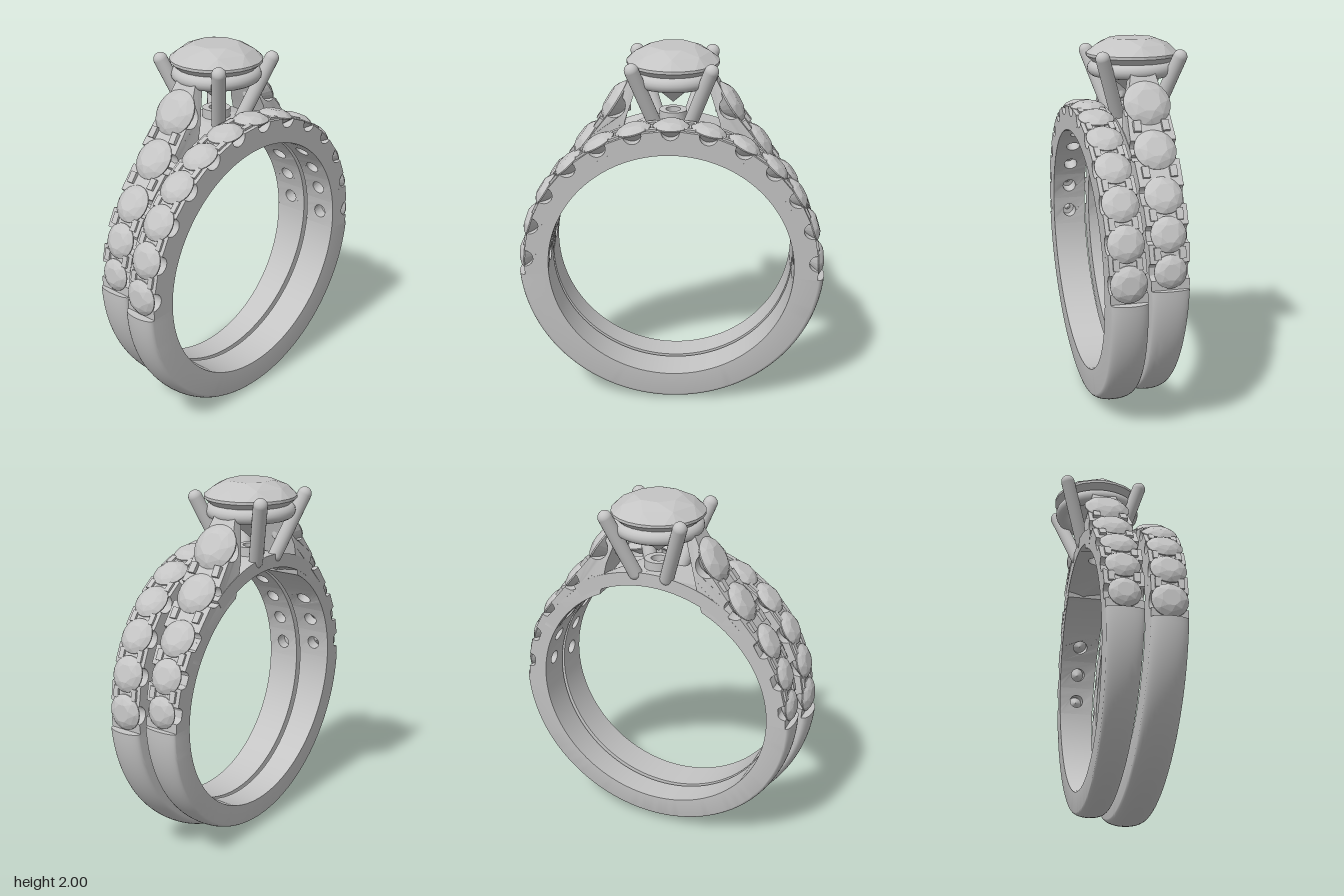
import * as THREE from 'three';
import { toCreasedNormals } from 'three/addons/utils/BufferGeometryUtils.js';
import { ConvexGeometry } from 'three/addons/geometries/ConvexGeometry.js';

const CY = 0.84, INNER = 0.665, SEAT = 0.733; // ring centre height, bore radius, seat floor radius
const RAD = Math.PI / 180;
const silver = new THREE.MeshStandardMaterial({ color: 0xc4c4c4 });
silver.name = 'silver';

// Each band is built with half-width 1 in z, then fitted to its real width and lean.
const frontBand = { half: () => 0.095, mid: y => 0.145 + 0.033 * y };
const backBand = {
  half: y => (y < 1.6 ? 0.07 + 0.033 * y : Math.max(0.05, 0.123 - (y - 1.6) * 0.24)),
  mid: () => -0.045,
};

function mapVertices(geometry, rule) {
  const p = geometry.attributes.position;
  for (let i = 0; i < p.count; i++) p.setXYZ(i, ...rule(p.getX(i), p.getY(i), p.getZ(i)));
  return geometry;
}

function addMesh(parent, name, geometry) {
  const mesh = new THREE.Mesh(geometry, silver);
  mesh.name = name;
  parent.add(mesh);
  return mesh;
}

function addFitted(parent, name, geometry, band) {
  mapVertices(geometry, (x, y, z) => [x, y, band.mid(y) + z * band.half(y)]);
  return addMesh(parent, name, toCreasedNormals(geometry, 0.6));
}

const polar = (r, a) => new THREE.Vector2(r * Math.cos(a), CY + r * Math.sin(a));

function arc(r, from, to, n) {
  return Array.from({ length: n + 1 }, (_, i) => polar(r, (from + (to - from) * i / n) * RAD));
}

// Plain shank: a domed profile swept around the ring
function plainShank(shoulderR, crownR, from, to) {
  const pts = [new THREE.Vector2(-1, INNER), new THREE.Vector2(1, INNER)];
  for (let i = 0; i <= 14; i++) {
    const a = Math.PI * i / 14;
    pts.push(new THREE.Vector2(Math.cos(a), shoulderR + (crownR - shoulderR) * Math.sin(a)));
  }
  const g = new THREE.ExtrudeGeometry(new THREE.Shape(pts),
    { depth: (to - from) * RAD, steps: 72, bevelEnabled: false });
  return mapVertices(g, (z, r, a) => {
    const p = polar(r, a + from * RAD);
    return [p.x, p.y, z];
  });
}

// Curved plate spanning an angle, with an optional round hole through it
function curvedPlate(from, to, r0, r1, hole) {
  const pts = [], n = 8, mid = (from + to) / 2 * RAD;
  for (let i = 0; i <= n; i++) pts.push(new THREE.Vector2((from + (to - from) * i / n) * RAD, -1));
  for (let i = n; i >= 0; i--) pts.push(new THREE.Vector2((from + (to - from) * i / n) * RAD, 1));
  const shape = new THREE.Shape(pts);
  if (hole) shape.holes.push(new THREE.Path().absellipse(mid, 0, hole / r0, hole / 0.1, 0, Math.PI * 2, true));
  const g = new THREE.ExtrudeGeometry(shape, { depth: r1 - r0, bevelEnabled: false, curveSegments: 20 });
  return mapVertices(g, (a, z, d) => {
    const p = polar(r0 + d, a);
    return [p.x, p.y, z];
  });
}

// Side outline with a round notch under each stone, closed by the given inner edge
function notchedRail(start, stones, rest, side) {
  const pts = [start];
  for (const s of stones) {
    const k = s.r * 0.5, c = Math.cos(s.a), n = Math.sin(s.a);
    for (let i = 0; i <= 10; i++) {
      const u = k * Math.cos(Math.PI * i / 10), d = k * Math.sin(Math.PI * i / 10);
      pts.push(new THREE.Vector2(s.x + n * u - c * d, s.y - c * u - n * d));
    }
  }
  pts.push(...rest);
  const shape = new THREE.Shape(pts.map(p => new THREE.Vector2(p.x * side, p.y)));
  return new THREE.ExtrudeGeometry(shape, { depth: 2, bevelEnabled: false }).translate(0, 0, -1);
}

// Faceted round stone: table, crown break, girdle and point
function stoneGeometry(r, crown, depth) {
  const pts = [new THREE.Vector3(0, -depth, 0)];
  const ring = (n, radius, y, turn) => {
    for (let i = 0; i < n; i++) {
      const a = (i + turn) * Math.PI * 2 / n;
      pts.push(new THREE.Vector3(radius * Math.cos(a), y, radius * Math.sin(a)));
    }
  };
  ring(8, r * 0.5, crown, 0.5);
  ring(8, r * 0.8, crown * 0.64, 0);
  ring(24, r, r * 0.03, 0);
  ring(24, r, -r * 0.03, 0);
  return new ConvexGeometry(pts);
}

// Frame whose y axis points outward at angle a
function outward(x, y, z, a) {
  const c = Math.cos(a), s = Math.sin(a);
  return new THREE.Matrix4().makeBasis(new THREE.Vector3(s, -c, 0), new THREE.Vector3(c, s, 0),
    new THREE.Vector3(0, 0, 1)).setPosition(x, y, z);
}

function setStones(parent, stones, band) {
  stones.forEach((s, i) => {
    addMesh(parent, 'sideStone', stoneGeometry(s.r, s.r * 0.34, s.r * 0.8)
      .applyMatrix4(outward(s.x, s.y, band.mid(s.y), s.a)));
    if (i === 0) return;
    // Small holding beads between neighbouring stones
    const q = stones[i - 1];
    for (const z of [-0.62, 0.62]) {
      addFitted(parent, 'bead', new THREE.BoxGeometry(0.06, 0.035, 0.32)
        .applyMatrix4(outward((s.x + q.x) / 2, (s.y + q.y) / 2, z, (s.a + q.a) / 2)), band);
    }
  });
}

function weddingBand() {
  const g = new THREE.Group();
  g.name = 'frontBand';
  const step = 14.35, first = 90 - 6 * step, a0 = first - step / 2, a1 = 180 - a0;
  addFitted(g, 'plainShank', plainShank(0.8, 0.837, a1, 360 + a0), frontBand);
  const stones = [];
  for (let i = 0; i < 13; i++) {
    const deg = first + i * step, p = polar(0.795, deg * RAD);
    stones.push({ x: p.x, y: p.y, a: deg * RAD, r: 0.095 });
    addFitted(g, 'piercedInnerWall',
      curvedPlate(deg - step / 2, deg + step / 2, INNER, SEAT, 0.04), frontBand);
  }
  addFitted(g, 'notchedRail', notchedRail(polar(0.795, a0 * RAD), stones,
    [polar(0.795, a1 * RAD), ...arc(SEAT, a1, a0, 78)], 1), frontBand);
  setStones(g, stones, frontBand);
  return g;
}

function engagementBand() {
  const g = new THREE.Group();
  g.name = 'backBand';
  addFitted(g, 'plainShank', plainShank(0.775, 0.8, 180, 360), backBand);
  const cells = [[0, 14], [14, 28], [28, 43]];
  const stones = [[7, 0.085], [20.7, 0.092], [35.5, 0.1]].map(([deg, r]) => {
    const p = polar(0.77, deg * RAD);
    return { x: p.x, y: p.y, a: deg * RAD, r };
  });
  stones.push({ x: 0.47, y: 1.485, a: 38 * RAD, r: 0.111 }, { x: 0.31, y: 1.695, a: 33 * RAD, r: 0.125 });
  const innerEdge = [new THREE.Vector2(0.205, 1.88), new THREE.Vector2(0.17, 1.85),
    new THREE.Vector2(0.25, 1.62), ...arc(INNER, 64, 43, 8), ...arc(SEAT, 43, 0, 18)];
  for (const side of [1, -1]) {
    // Rising shoulder with its row of stones
    addFitted(g, 'shoulder', notchedRail(polar(0.77, 0), stones, innerEdge, side), backBand);
    for (const [f, t] of cells) {
      const [from, to] = side > 0 ? [f, t] : [180 - t, 180 - f];
      addFitted(g, 'piercedInnerWall', curvedPlate(from, to, INNER, SEAT, 0.038), backBand);
    }
    setStones(g, stones.map(s => ({ ...s, x: s.x * side, a: side > 0 ? s.a : Math.PI - s.a })), backBand);
  }
  // Bridge under the head
  for (const [f, t, hole] of [[54, 82, 0], [82, 98, 0.04], [98, 126, 0]]) {
    addFitted(g, 'bridge', curvedPlate(f, t, 0.69, 0.765, hole), backBand);
  }
  return g;
}

function head() {
  const g = new THREE.Group();
  g.name = 'head';
  g.position.z = -0.045;
  addMesh(g, 'centreStone', stoneGeometry(0.247, 0.085, 0.225)).position.y = 1.915;
  const gallery = addMesh(g, 'galleryRing', new THREE.TorusGeometry(0.2, 0.04, 16, 64));
  gallery.rotation.x = Math.PI / 2;
  gallery.position.y = 1.84;
  // Collar below the point of the stone
  const collar = [[0.04, 1.58], [0.075, 1.58], [0.075, 1.65], [0.04, 1.65], [0.04, 1.58]]
    .map(p => new THREE.Vector2(...p));
  addMesh(g, 'collar', toCreasedNormals(new THREE.LatheGeometry(collar, 32), 0.6));
  // Four splayed claws
  for (const sx of [1, -1]) for (const sz of [1, -1]) {
    const top = new THREE.Vector3(sx * 0.205, 1.915, sz * 0.207);
    const base = new THREE.Vector3(sx * 0.09, 1.59, sz * 0.1);
    const dir = top.clone().sub(base);
    const claw = addMesh(g, 'claw', new THREE.CapsuleGeometry(0.038, dir.length(), 8, 20));
    claw.position.copy(top).add(base).multiplyScalar(0.5);
    claw.quaternion.setFromUnitVectors(new THREE.Vector3(0, 1, 0), dir.normalize());
  }
  return g;
}

export function createModel() {
  const model = new THREE.Group();
  model.name = 'ringSet';
  model.add(weddingBand(), engagementBand(), head());
  return model;
}
